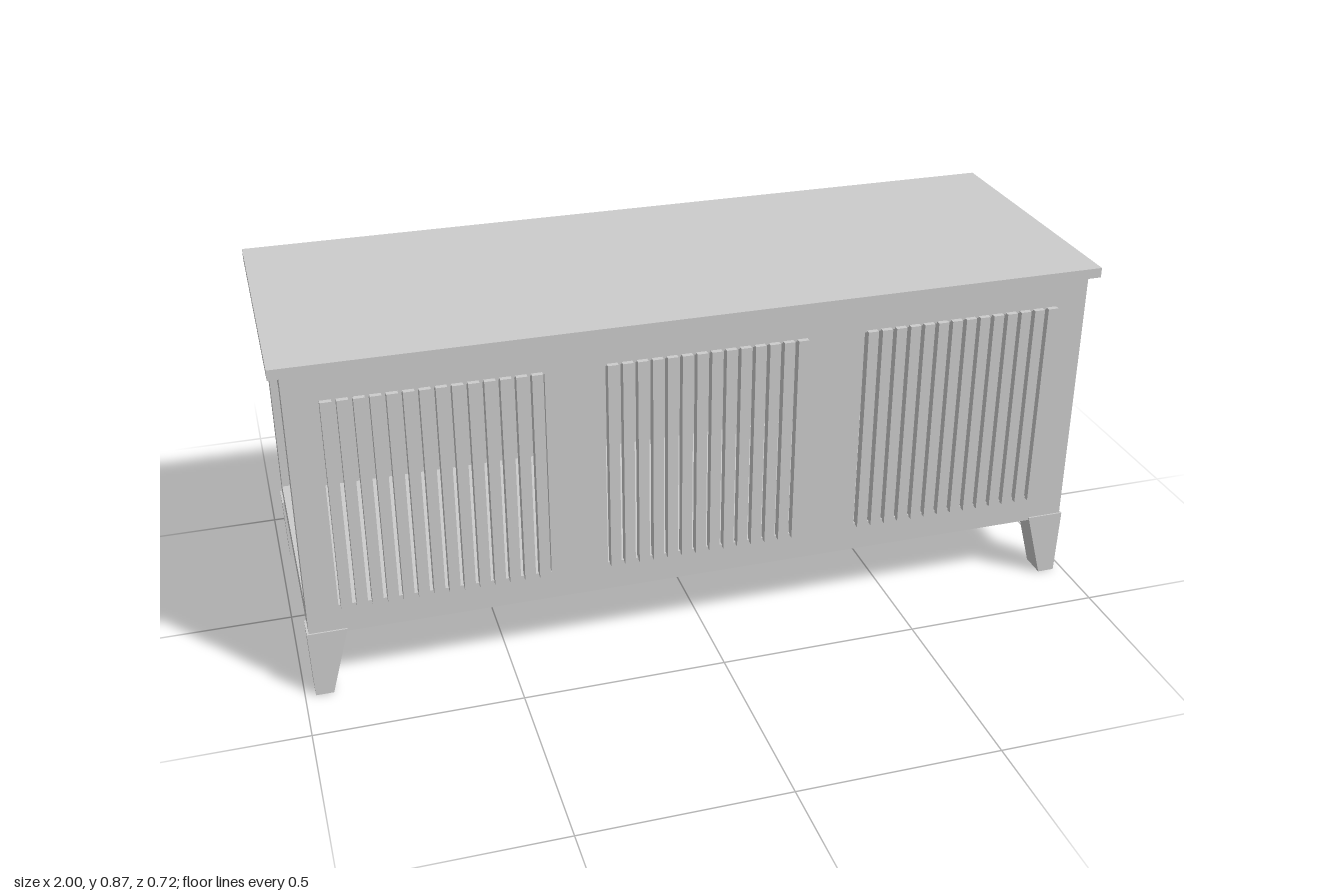
import * as THREE from 'three';

const material = new THREE.MeshStandardMaterial({ color: 0xcccccc, flatShading: true });

function add(parent, name, geometry, x = 0, y = 0, z = 0) {
  const mesh = new THREE.Mesh(geometry, material);
  mesh.name = name;
  mesh.position.set(x, y, z);
  parent.add(mesh);
  return mesh;
}

// Box given by its minimum and maximum on each axis
function box(parent, name, [x0, x1], [y0, y1], [z0, z1]) {
  return add(parent, name, new THREE.BoxGeometry(x1 - x0, y1 - y0, z1 - z0),
    (x0 + x1) / 2, (y0 + y1) / 2, (z0 + z1) / 2);
}

function rectangle(PathType, x0, x1, y0, y1) {
  return new PathType([[x0, y0], [x1, y0], [x1, y1], [x0, y1]].map(p => new THREE.Vector2(...p)));
}

// Flat frame with rectangular openings
function frame(outer, openings, depth) {
  const shape = rectangle(THREE.Shape, ...outer);
  for (const o of openings) shape.holes.push(rectangle(THREE.Path, ...o));
  return new THREE.ExtrudeGeometry(shape, { depth, bevelEnabled: false });
}

export function createModel() {
  const model = new THREE.Group();
  model.name = 'slattedCabinet';
  const bottom = 0.17, top = 0.85, halfW = 0.975, halfD = 0.345;

  // Carcass: top board, floor and back
  box(model, 'topBoard', [-1, 1], [top, 0.875], [-0.36, 0.36]);
  box(model, 'floor', [-0.96, 0.96], [bottom, 0.19], [-0.33, 0.33]);
  box(model, 'backPanel', [-halfW, halfW], [bottom, top], [-halfD, -0.325]);

  // Front frame with three openings
  const bays = [[-0.9, -0.39], [-0.25, 0.25], [0.39, 0.9]];
  const slatBottom = 0.245, slatTop = 0.775;
  add(model, 'frontFrame',
    frame([-halfW, halfW, bottom, top], bays.map(b => [...b, slatBottom, slatTop]), 0.025), 0, 0, halfD - 0.025);

  // Vertical slats in each opening, with narrow gaps between
  const slatsPerBay = 14;
  for (const [x0, x1] of bays) {
    const bay = new THREE.Group();
    bay.name = 'slatPanel';
    model.add(bay);
    const pitch = (x1 - x0) / slatsPerBay;
    for (let i = 0; i < slatsPerBay; i++) {
      const x = x0 + (i + 0.5) * pitch;
      box(bay, 'slat', [x - pitch * 0.36, x + pitch * 0.36], [slatBottom - 0.005, slatTop + 0.005], [0.335, 0.358]);
    }
  }

  // Side frames with recessed panels
  for (const side of [1, -1]) {
    const end = new THREE.Group();
    end.name = side > 0 ? 'leftSide' : 'rightSide';
    end.rotation.y = side * Math.PI / 2;
    end.position.x = side * halfW;
    model.add(end);
    add(end, 'sideFrame', frame([-0.325, 0.325, bottom, top], [[-0.28, 0.28, 0.23, 0.795]], 0.03), 0, 0, -0.03);
    box(end, 'sidePanel', [-0.3, 0.3], [0.2, 0.82], [-0.04, -0.028]);
  }

  // Tapered legs, slanted on the inner face
  for (const sx of [1, -1]) {
    const points = [[0.885, 0.178], [0.98, 0.178], [0.975, 0.004], [0.932, 0.004]];
    const profile = new THREE.Shape(points.map(([x, y]) => new THREE.Vector2(sx * x, y)));
    const geometry = new THREE.ExtrudeGeometry(profile, { depth: 0.064, bevelEnabled: false });
    add(model, 'frontLeg', geometry, 0, 0, 0.285);
    add(model, 'backLeg', geometry, 0, 0, -0.349);
  }
  return model;
}
